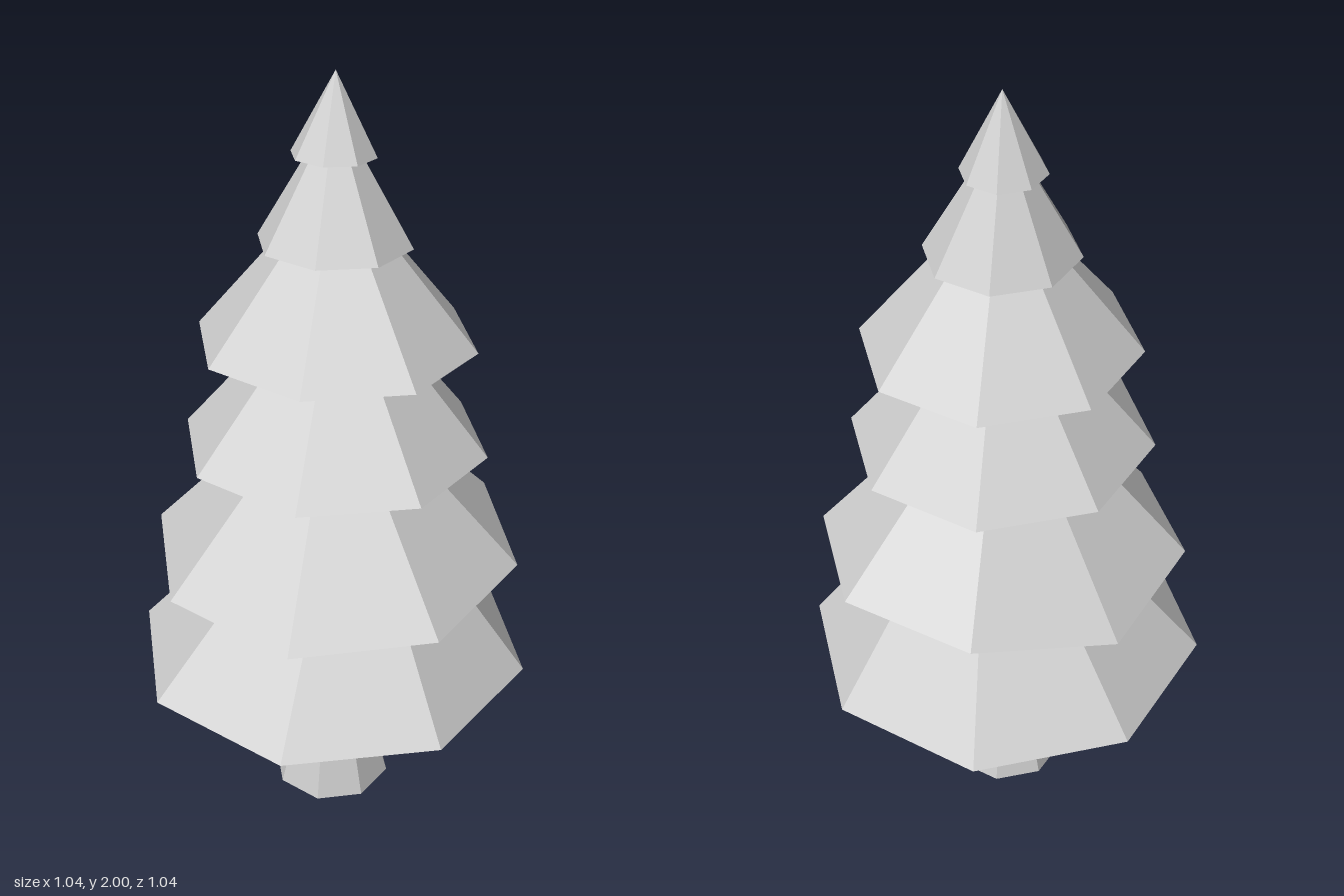
import * as THREE from 'three';

const SIDES = 8;

// Eight-sided cone with a tilted, closed rim and a freely placed tip.
// drop lowers single rim corners: { cornerIndex: amount }
function tierGeometry({ centre, radius, tilt, tip, drop = {} }) {
  const [cx, cy, cz] = centre;
  const rim = [];
  for (let i = 0; i < SIDES; i++) {
    const a = (i / SIDES) * Math.PI * 2;
    const x = Math.sin(a) * radius;
    const z = Math.cos(a) * radius;
    rim.push([cx + x, cy + z * tilt - (drop[i] || 0), cz + z]);
  }
  const positions = [];
  for (let i = 0; i < SIDES; i++) {
    const a = rim[i];
    const b = rim[(i + 1) % SIDES];
    positions.push(...a, ...b, ...tip); // sloping face
    positions.push(...b, ...a, ...centre); // underside
  }
  const geometry = new THREE.BufferGeometry();
  geometry.setAttribute('position', new THREE.Float32BufferAttribute(positions, 3));
  geometry.computeVertexNormals();
  return geometry;
}

export function createModel() {
  const tree = new THREE.Group();
  tree.name = 'pineTree';

  const grey = new THREE.MeshStandardMaterial({ color: 0xcccccc, flatShading: true, side: THREE.DoubleSide });
  grey.name = 'light grey';

  // Flared trunk, open at the bottom
  const profile = [[0.16, 0], [0.114, 0.175], [0.1, 0.33], [0.098, 0.46]];
  const trunk = new THREE.Mesh(
    new THREE.LatheGeometry(profile.map(([r, y]) => new THREE.Vector2(r, y)), SIDES),
    grey
  );
  trunk.name = 'trunk';
  tree.add(trunk);

  // Foliage tiers from the lowest to the top
  const tiers = [
    { centre: [0, 0.44, 0], radius: 0.52, tilt: 0.031, tip: [0.04, 1.08, -0.02] },
    { centre: [0.008, 0.767, -0.008], radius: 0.475, tilt: -0.039, tip: [0.01, 1.29, 0.01], drop: { 5: 0.045 } },
    { centre: [0.01, 1.083, 0.005], radius: 0.382, tilt: 0.042, tip: [0.01, 1.54, -0.025] },
    { centre: [0.01, 1.358, -0.008], radius: 0.343, tilt: 0.047, tip: [0.005, 1.77, -0.025] },
    { centre: [0.004, 1.602, -0.018], radius: 0.186, tilt: 0.062, tip: [0, 1.92, -0.035] },
    { centre: [-0.002, 1.808, -0.032], radius: 0.101, tilt: 0.075, tip: [0, 2, -0.04] },
  ];
  tiers.forEach((tier, i) => {
    const mesh = new THREE.Mesh(tierGeometry(tier), grey);
    mesh.name = `foliageTier${i + 1}`;
    tree.add(mesh);
  });

  return tree;
}
